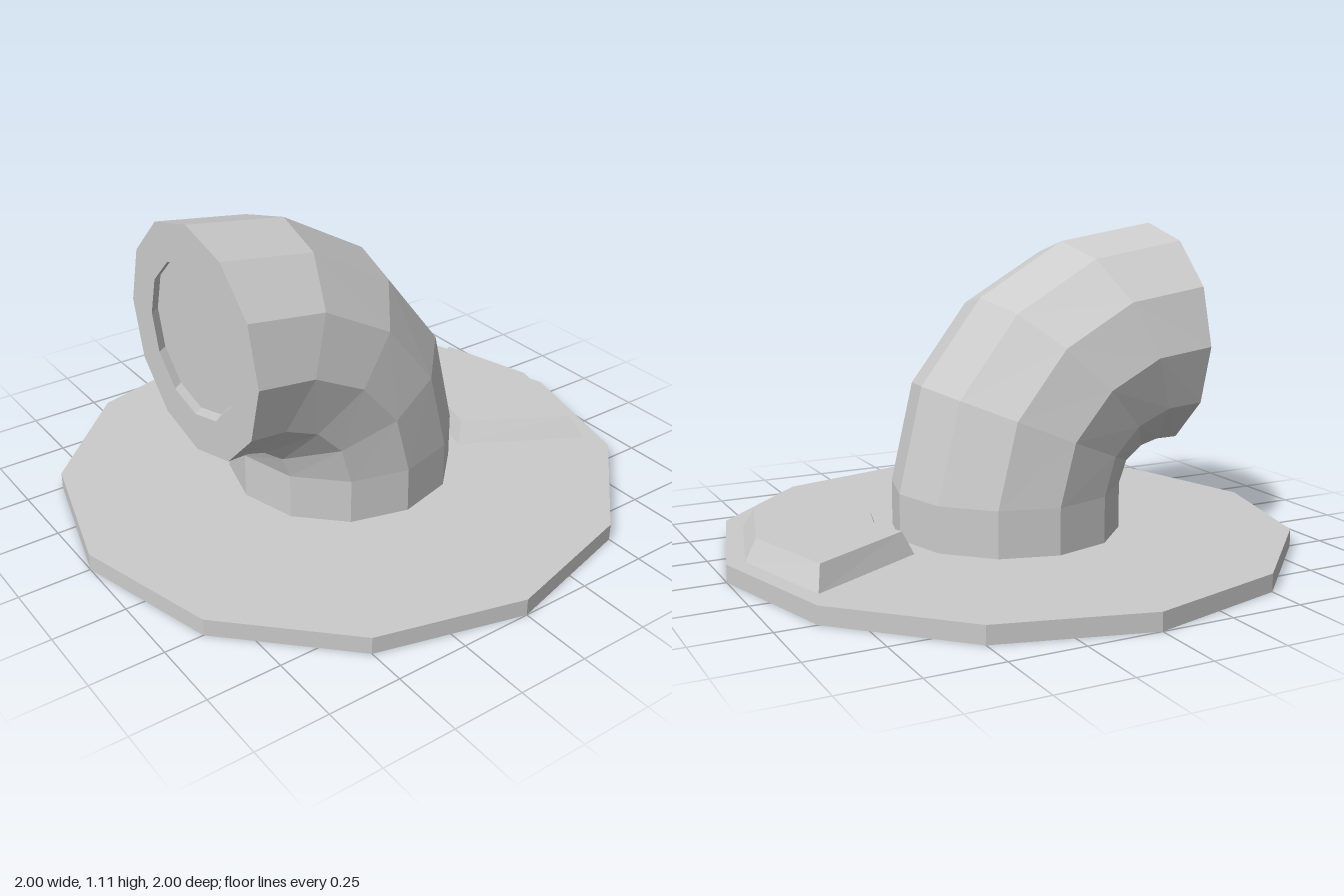
import * as THREE from 'three';

const SIDES = 12;
const material = new THREE.MeshStandardMaterial({
  color: 0xcccccc, flatShading: true, side: THREE.DoubleSide,
});

// Twelve-sided ring centred on (cx, cy, cz), tipped forward by tilt
function ring(r, cy, cz, tilt = 0, cx = 0) {
  return Array.from({ length: SIDES }, (_, i) => {
    const a = (i / SIDES) * Math.PI * 2;
    const u = r * Math.cos(a);
    return [cx + r * Math.sin(a), cy + u * Math.sin(tilt), cz - u * Math.cos(tilt)];
  });
}

// Skin a list of rings; optionally close the last one with a fan
function loft(name, rings, capped = false) {
  const n = rings[0].length;
  const index = [];
  for (let k = 0; k < rings.length - 1; k++) {
    for (let i = 0; i < n; i++) {
      const j = (i + 1) % n;
      const a = k * n + i, b = k * n + j, c = a + n, d = b + n;
      index.push(a, c, b, b, c, d);
    }
  }
  if (capped) {
    const s = (rings.length - 1) * n;
    for (let i = 1; i < n - 1; i++) index.push(s, s + i + 1, s + i);
  }
  const geo = new THREE.BufferGeometry();
  geo.setAttribute('position', new THREE.Float32BufferAttribute(rings.flat(2), 3));
  geo.setIndex(index);
  const flat = geo.toNonIndexed();
  flat.computeVertexNormals();
  return named(name, flat);
}

function named(name, geo) {
  const mesh = new THREE.Mesh(geo, material);
  mesh.name = name;
  return mesh;
}

// Mirrored wedge outline from its right half
function wedgeOutline(y, zBack, xOuter, zOuter, xInner, zInner, zFront) {
  return [
    [0, y, zBack], [xOuter, y, zOuter], [xInner, y, zInner],
    [0, y, zFront], [-xInner, y, zInner], [-xOuter, y, zOuter],
  ];
}

export function createModel() {
  const group = new THREE.Group();
  group.name = 'elbowPipeOnBase';
  const top = 0.06;

  const wedgeFoot = wedgeOutline(top, -0.938, 0.405, -0.83, 0.17, -0.42, -0.465);
  const wedgeTop = wedgeOutline(0.135, -0.9, 0.35, -0.805, 0.145, -0.453, -0.495);
  const pipeFoot = ring(0.4, top, 0);

  // Base: thin rim, open underneath, and a plate cut out below pipe and wedge
  const toPlan = (pts) => pts.map(([x, , z]) => new THREE.Vector2(x, -z));
  const plate = new THREE.Shape(toPlan(ring(1, top, 0)));
  plate.holes.push(new THREE.Path(toPlan(pipeFoot)), new THREE.Path(toPlan(wedgeFoot)));
  const plateGeo = new THREE.ShapeGeometry(plate).rotateX(-Math.PI / 2).translate(0, top, 0);
  group.add(named('basePlate', plateGeo));
  group.add(loft('baseRim', [ring(1, 0, 0), ring(1, top, 0)]));

  // Elbow pipe: short upright, then four bend segments, as [y, z] centres
  const bend = [[0.22, 0], [0.43, 0.055], [0.59, 0.19], [0.685, 0.375], [0.71, 0.58]];
  const bendRings = bend.map(([y, z], i) => ring(0.4, y, z, (i * Math.PI) / 8));
  group.add(loft('elbowPipe', [pipeFoot, ...bendRings]));

  // Mouth: flat annular face with a shallow, slightly offset recess
  const q = Math.PI / 2;
  group.add(loft('pipeMouth', [
    ring(0.4, 0.71, 0.58, q), ring(0.266, 0.71, 0.58, q), ring(0.264, 0.71, 0.545, q, -0.025),
  ], true));

  // Raised wedge behind the pipe
  group.add(loft('rearWedge', [wedgeFoot, wedgeTop], true));

  return group;
}
